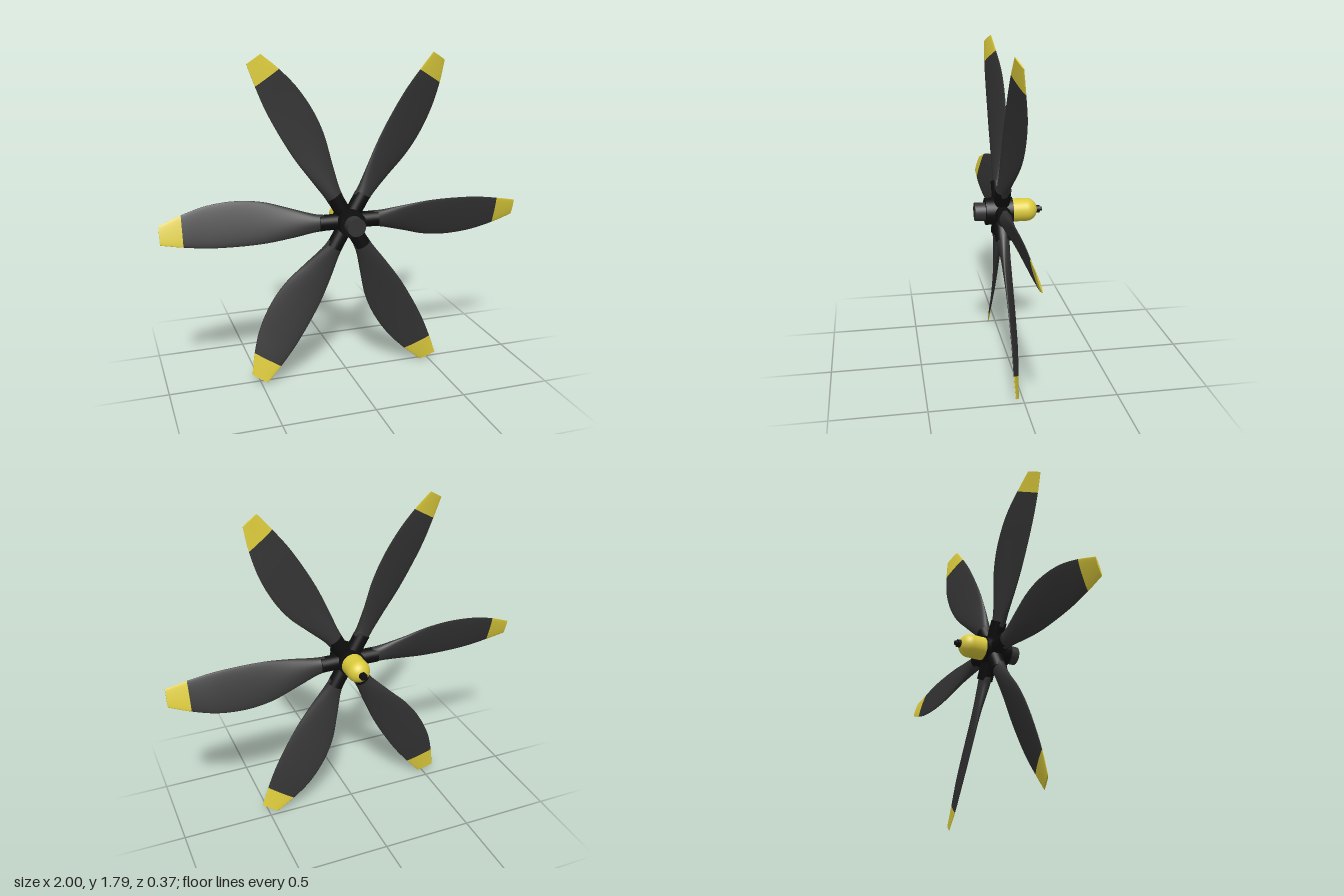
import * as THREE from 'three';

const CENTER_Y = 0.896, BLADE_Z = 0.04, BLADES = 6;

// Blade stations: radius, upper edge y/z, lower edge y/z, half thickness
const STATIONS = [
  [0.14, 0.044, 0.042, -0.044, 0.038, 0.036],
  [0.20, 0.047, 0.050, -0.054, 0.028, 0.031],
  [0.32, 0.063, 0.056, -0.090, 0.008, 0.022],
  [0.46, 0.078, 0.057, -0.131, -0.007, 0.014],
  [0.60, 0.081, 0.056, -0.146, -0.012, 0.010],
  [0.75, 0.075, 0.055, -0.135, -0.008, 0.008],
  [0.885, 0.057, 0.054, -0.100, 0.007, 0.006],
  [1.00, 0.036, 0.050, -0.056, 0.021, 0.004],
];
const spline = (pick) => new THREE.CatmullRomCurve3(
  STATIONS.map((s) => new THREE.Vector3(...pick(s))), false, 'catmullrom', 0.5);
const upperEdge = spline((s) => [s[0], s[1], s[2]]);
const lowerEdge = spline((s) => [s[0], s[3], s[4]]);
const thickness = spline((s) => [s[0], s[5], 0]);

// Lofts lens-shaped sections along +x between two curve parameters
function loftBlade(t0, t1, rows, cap) {
  const sides = 28, pos = [], index = [];
  for (let i = 0; i <= rows; i++) {
    const t = t0 + (t1 - t0) * i / rows;
    const u = upperEdge.getPoint(t), l = lowerEdge.getPoint(t), h = thickness.getPoint(t).y;
    const mid = u.clone().add(l).multiplyScalar(0.5);
    const half = u.clone().sub(l).multiplyScalar(0.5);
    const across = new THREE.Vector3(0, -half.z, half.y).normalize().multiplyScalar(h);
    for (let j = 0; j < sides; j++) {
      const a = j / sides * Math.PI * 2;
      const p = mid.clone().addScaledVector(half, Math.cos(a)).addScaledVector(across, Math.sin(a));
      pos.push(p.x, p.y, p.z);
    }
  }
  for (let i = 0; i < rows; i++) {
    for (let j = 0; j < sides; j++) {
      const k = (j + 1) % sides;
      const a = i * sides + j, b = i * sides + k;
      index.push(a, b, b + sides, a, b + sides, a + sides);
    }
  }
  // Flat end with its own vertices, so the rim stays sharp
  if (cap) {
    const first = pos.length / 3;
    pos.push(...pos.slice(rows * sides * 3));
    for (let j = 1; j < sides - 1; j++) index.push(first, first + j, first + j + 1);
  }
  const geo = new THREE.BufferGeometry();
  geo.setAttribute('position', new THREE.Float32BufferAttribute(pos, 3));
  geo.setIndex(index);
  geo.computeVertexNormals();
  return geo;
}

export function createModel() {
  const model = new THREE.Group();
  model.name = 'propeller';
  const mat = (color) => new THREE.MeshStandardMaterial({ color });
  const dark = mat(0x333333), black = mat(0x0e0e0e), yellow = mat(0xdccb3c);

  const rotor = new THREE.Group();
  rotor.name = 'rotor';
  rotor.position.y = CENTER_Y;
  model.add(rotor);

  const add = (parent, name, geo, material) => {
    const mesh = new THREE.Mesh(geo, material);
    mesh.name = name;
    parent.add(mesh);
    return mesh;
  };
  // Cylinder along z between two depths
  const zCylinder = (radius, z0, z1) => new THREE.CylinderGeometry(radius, radius, z1 - z0, 40)
    .rotateX(Math.PI / 2).translate(0, 0, (z0 + z1) / 2);

  // Hub and front shaft
  add(rotor, 'hub', zCylinder(0.073, -0.02, 0.128), black);
  add(rotor, 'shaft', zCylinder(0.05, 0.12, 0.185), dark);

  // Rounded spinner pointing backwards
  const profile = [new THREE.Vector2(0.063, 0.015)];
  for (let i = 0; i <= 14; i++) {
    const a = i / 14 * Math.PI / 2;
    profile.push(new THREE.Vector2(0.063 * Math.cos(a), 0.098 + 0.06 * Math.sin(a)));
  }
  add(rotor, 'spinner', new THREE.LatheGeometry(profile, 40).rotateX(-Math.PI / 2), yellow);

  // Stepped knob on the spinner
  add(rotor, 'spinnerCollar', zCylinder(0.021, -0.172, -0.15), black);
  add(rotor, 'spinnerKnob', zCylinder(0.012, -0.185, -0.17), black);

  // Blades with their sockets
  const split = 6 / 7;
  const bodyGeo = loftBlade(0, split, 48, false);
  const tipGeo = loftBlade(split, 1, 8, true);
  const socketGeo = new THREE.CylinderGeometry(0.043, 0.043, 0.135, 32)
    .rotateZ(-Math.PI / 2).translate(0.0975, 0, BLADE_Z);
  for (let i = 0; i < BLADES; i++) {
    const blade = new THREE.Group();
    blade.name = 'blade' + (i + 1);
    blade.rotation.z = i * Math.PI * 2 / BLADES;
    add(blade, 'bladeBody', bodyGeo, dark);
    add(blade, 'bladeTip', tipGeo, yellow);
    add(blade, 'bladeSocket', socketGeo, black);
    rotor.add(blade);
  }
  return model;
}
